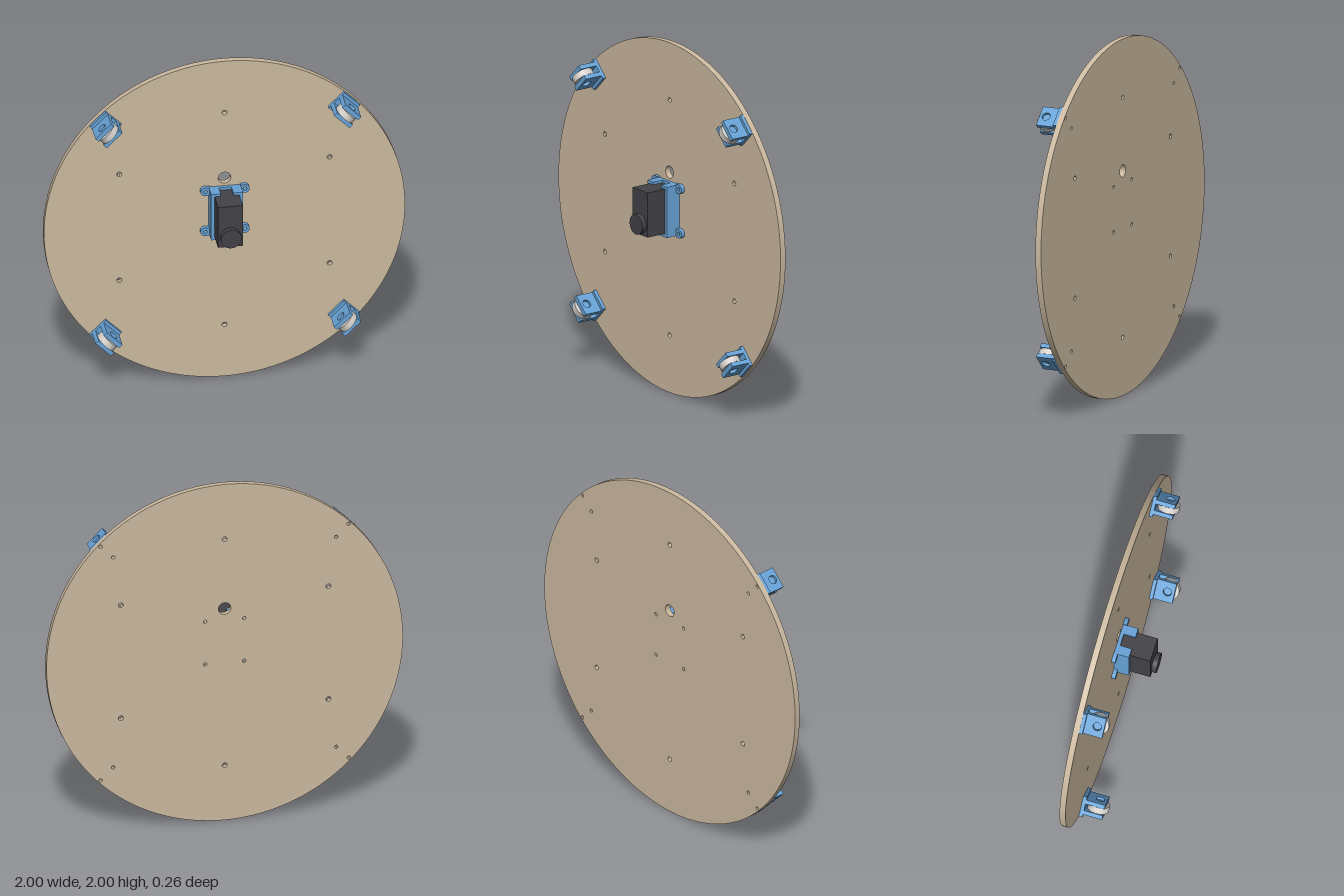
import * as THREE from 'three';
import { toCreasedNormals } from 'three/addons/utils/BufferGeometryUtils.js';

const mat = (name, color) => {
  const m = new THREE.MeshStandardMaterial({ color });
  m.name = name;
  return m;
};

function addMesh(parent, name, geometry, material, x = 0, y = 0, z = 0) {
  const mesh = new THREE.Mesh(geometry, material);
  mesh.name = name;
  mesh.position.set(x, y, z);
  parent.add(mesh);
  return mesh;
}

const circle = (x, y, r, Type = THREE.Path) => new Type().absarc(x, y, r, 0, Math.PI * 2, false);

const rectangle = (x0, y0, x1, y1) => new THREE.Shape([
  new THREE.Vector2(x0, y0), new THREE.Vector2(x1, y0),
  new THREE.Vector2(x1, y1), new THREE.Vector2(x0, y1),
]);

function extrude(shape, depth, curveSegments = 24) {
  const g = new THREE.ExtrudeGeometry(shape, { depth, curveSegments, bevelEnabled: false });
  return toCreasedNormals(g, 0.6);
}

const DISC_BACK = -0.132, DISC_FRONT = -0.098, CENTRE_Y = 1;
const CASTER_RADIUS = 0.935;

export function createModel() {
  const model = new THREE.Group();
  model.name = 'discBase';
  const tan = mat('tan board', 0xcbb99f);
  const blue = mat('blue plastic', 0x67a2d6);
  const dark = mat('dark casing', 0x424247);
  const grey = mat('light grey wheel', 0xd3cec8);

  // Round board with all its drilled holes, drawn about its own centre
  const board = circle(0, 0, 1, THREE.Shape);
  board.holes.push(circle(0, 0.26, 0.035));
  for (let i = 0; i < 6; i++) {
    const a = Math.PI / 2 + i * Math.PI / 3;
    board.holes.push(circle(0.673 * Math.cos(a), 0.673 * Math.sin(a), 0.014));
  }
  const ears = [];
  for (const x of [-0.11, 0.11]) for (const y of [-0.062, 0.192]) ears.push([x, y]);
  for (const [x, y] of ears) board.holes.push(circle(x, y, 0.01));
  const angles = [0, 1, 2, 3].map((i) => Math.PI / 4 + i * Math.PI / 2);
  for (const a of angles) {
    for (const r of [CASTER_RADIUS - 0.05, CASTER_RADIUS + 0.05]) {
      board.holes.push(circle(r * Math.cos(a), r * Math.sin(a), 0.01));
    }
  }
  addMesh(model, 'roundBoard', extrude(board, DISC_FRONT - DISC_BACK, 96), tan, 0, CENTRE_Y, DISC_BACK);

  // Casters: local x points outward, the wheel rolls along local y
  const cheekShape = rectangle(-0.061, -0.078, 0.061, 0.03);
  cheekShape.holes.push(circle(0, -0.01, 0.024));
  const cheek = extrude(cheekShape, 0.025);
  cheek.applyMatrix4(new THREE.Matrix4().makeBasis(
    new THREE.Vector3(0, 1, 0), new THREE.Vector3(0, 0, 1), new THREE.Vector3(1, 0, 0)));
  const flange = new THREE.BoxGeometry(0.125, 0.122, 0.02);
  const wheel = new THREE.CylinderGeometry(0.06, 0.06, 0.036, 48).rotateZ(Math.PI / 2);
  const axle = new THREE.CylinderGeometry(0.0235, 0.0235, 0.06, 24).rotateZ(Math.PI / 2);
  for (const a of angles) {
    const caster = new THREE.Group();
    caster.name = 'caster';
    caster.position.set(CASTER_RADIUS * Math.cos(a), CENTRE_Y + CASTER_RADIUS * Math.sin(a), 0);
    caster.rotation.z = a;
    addMesh(caster, 'casterFlange', flange, blue, 0, 0, DISC_FRONT + 0.01);
    addMesh(caster, 'outerCheek', cheek, blue, 0.02);
    addMesh(caster, 'innerCheek', cheek, blue, -0.045);
    addMesh(caster, 'casterWheel', wheel, grey, 0, 0, -0.01);
    addMesh(caster, 'casterAxle', axle, blue, 0, 0, -0.01);
    model.add(caster);
  }

  // Motor bracket: floor, walls with a cable notch in the top, and screw ears
  const bracket = new THREE.Group();
  bracket.name = 'motorBracket';
  bracket.position.set(0, CENTRE_Y, DISC_FRONT);
  model.add(bracket);
  addMesh(bracket, 'bracketFloor', extrude(rectangle(-0.088, -0.08, 0.088, 0.21), 0.02), blue);
  const walls = new THREE.Shape([
    [-0.035, 0.21], [-0.088, 0.21], [-0.088, -0.08], [0.088, -0.08], [0.088, 0.21], [0.035, 0.21],
    [0.035, 0.195], [0.07, 0.195], [0.07, -0.062], [-0.07, -0.062], [-0.07, 0.195], [-0.035, 0.195],
  ].map(([x, y]) => new THREE.Vector2(x, y)));
  addMesh(bracket, 'bracketWalls', extrude(walls, 0.066), blue, 0, 0, 0.02);
  for (const [x, y] of ears) {
    const s = Math.sign(x);
    const ear = new THREE.Shape();
    ear.moveTo(-s * 0.024, -0.025);
    ear.lineTo(0, -0.025);
    ear.absarc(0, 0, 0.026, -Math.PI / 2, Math.PI / 2, s < 0);
    ear.lineTo(-s * 0.024, 0.025);
    ear.holes.push(circle(0, 0, 0.01));
    addMesh(bracket, 'screwEar', extrude(ear, 0.022), blue, x, y, 0);
  }

  // Motor seated in the bracket, with its round output boss
  addMesh(model, 'motorBody', new THREE.BoxGeometry(0.138, 0.255, 0.183), dark, 0, CENTRE_Y + 0.067, 0.0135);
  addMesh(model, 'motorBoss', new THREE.CylinderGeometry(0.057, 0.057, 0.03, 48).rotateX(Math.PI / 2),
    dark, 0, CENTRE_Y + 0.003, 0.118);

  return model;
}
